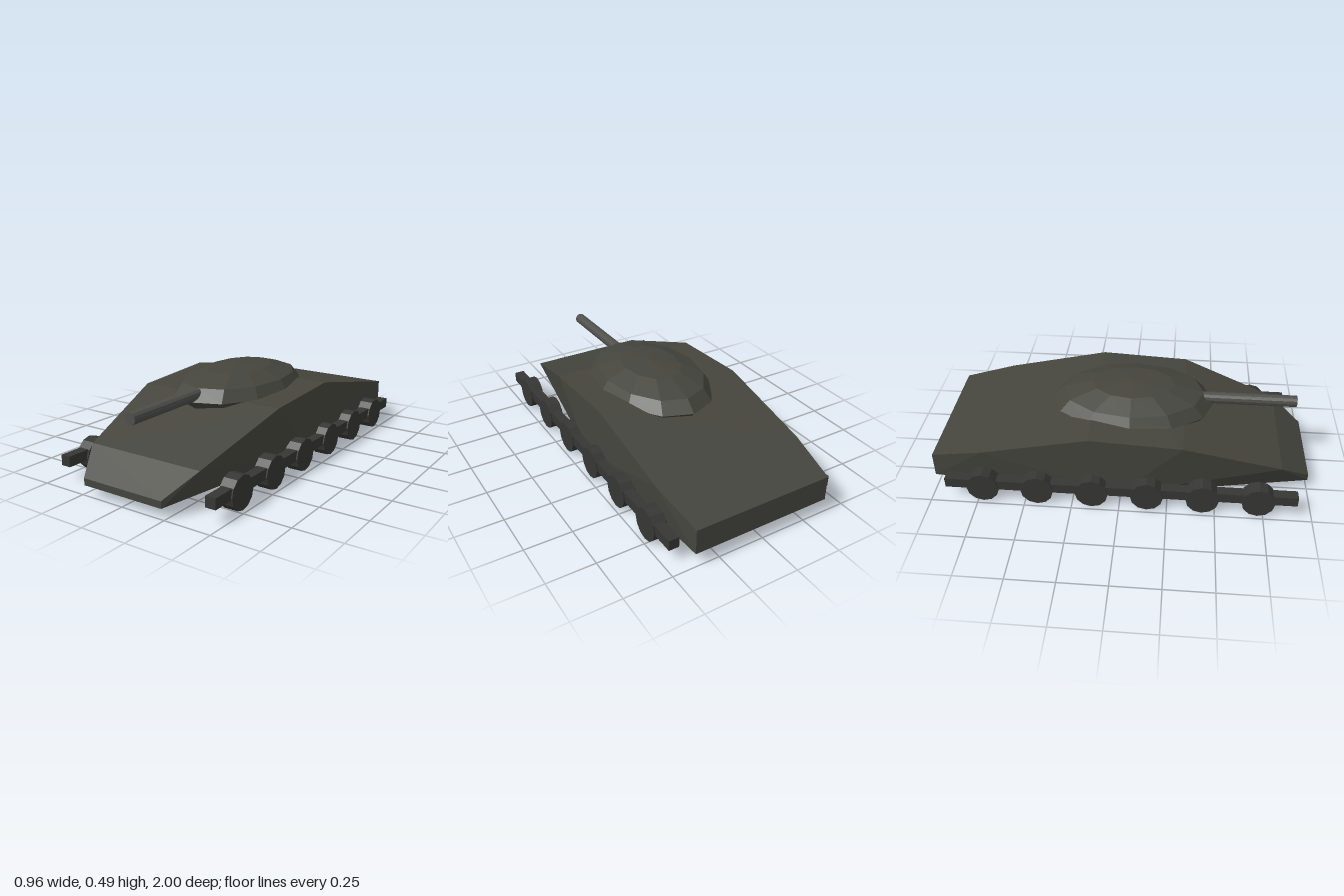
import * as THREE from 'three';
import { ConvexGeometry } from 'three/addons/geometries/ConvexGeometry.js';

const paint = (color) => new THREE.MeshStandardMaterial({ color, flatShading: true });

export function createModel() {
  const model = new THREE.Group();
  const armour = paint(0x45453e);
  const running = paint(0x363634);
  const steel = paint(0x4e4e4a);

  const add = (name, geometry, material, x, y, z) => {
    const mesh = new THREE.Mesh(geometry, material);
    mesh.name = name;
    mesh.position.set(x, y, z);
    model.add(mesh);
    return mesh;
  };

  // Faceted hull: half-width, height and depth of each corner, mirrored in x
  const corners = [
    // deck edge, nose to tail
    [0.235, 0.088, 1], [0.33, 0.197, 0.84], [0.422, 0.37, 0.32],
    [0.422, 0.395, -0.16], [0.415, 0.275, -0.72], [0.38, 0.21, -1],
    // floor edge, nose to tail
    [0.235, 0.052, 1], [0.422, 0.052, 0], [0.38, 0.076, -1],
  ];
  const points = corners.flatMap(([x, y, z]) => [
    new THREE.Vector3(x, y, z), new THREE.Vector3(-x, y, z),
  ]);
  add('hull', new ConvexGeometry(points), armour, 0, 0, 0);

  // Domed turret, sunk into the deck
  const dome = new THREE.SphereGeometry(1, 12, 6).scale(0.302, 0.122, 0.44);
  add('turret', dome, armour, 0, 0.37, 0.04);

  // Gun barrel
  const barrel = new THREE.CylinderGeometry(0.031, 0.031, 0.62, 12).rotateX(Math.PI / 2);
  add('gunBarrel', barrel, steel, 0, 0.401, 0.61);

  // Running gear on both sides
  const beam = new THREE.BoxGeometry(0.055, 0.055, 1.84);
  const wheel = new THREE.CylinderGeometry(0.086, 0.086, 0.074, 12).rotateZ(Math.PI / 2);
  for (const [side, s] of [['left', 1], ['right', -1]]) {
    add(side + 'TrackBeam', beam, running, s * 0.444, 0.103, 0);
    for (let i = 0; i < 6; i++) {
      add(side + 'RoadWheel' + (i + 1), wheel, running, s * 0.442, 0.086, 0.72 - i * 0.288);
    }
  }
  return model;
}
